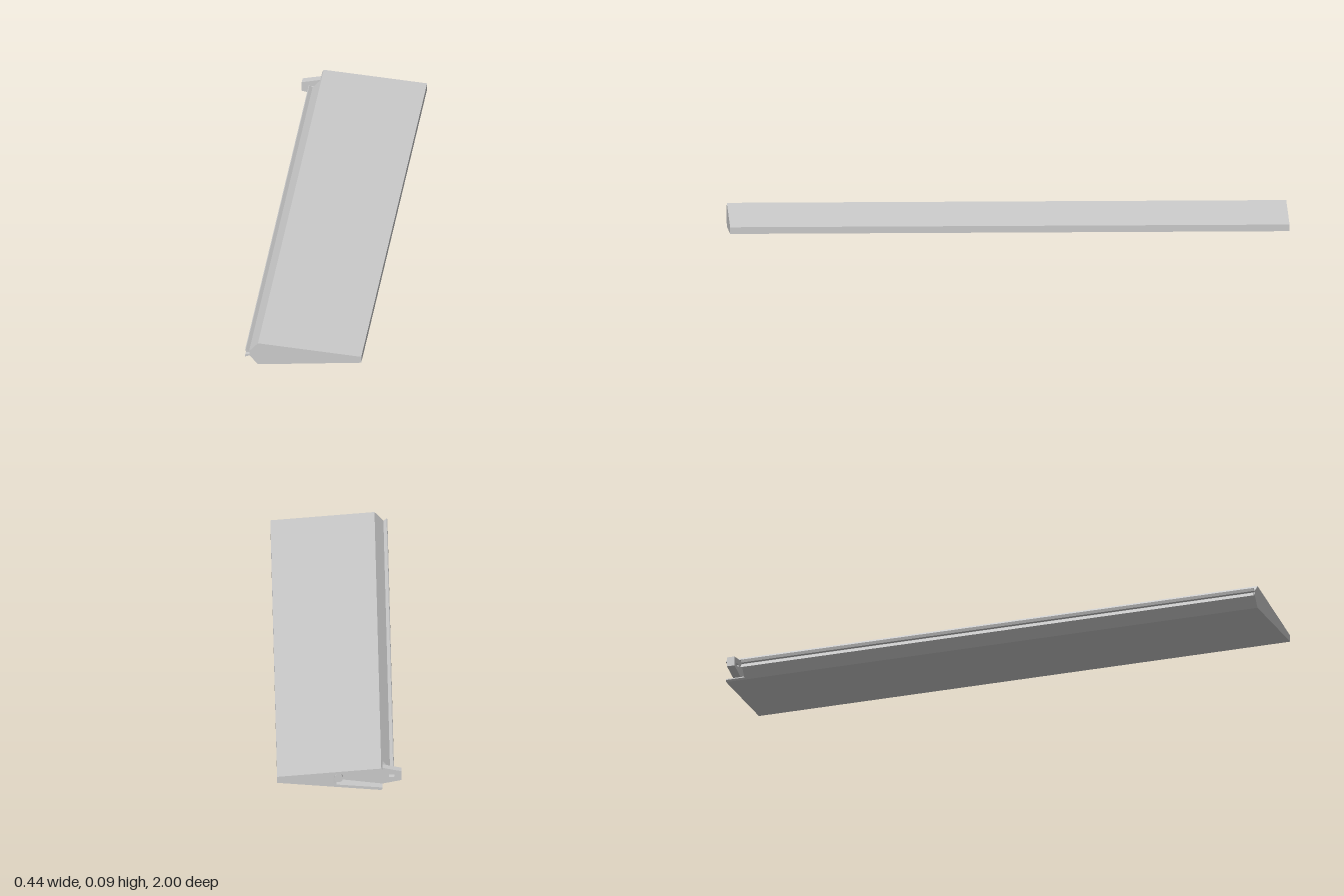
import * as THREE from 'three';

const material = new THREE.MeshStandardMaterial({ color: 0xcccccc, flatShading: true });

// Extrudes an x/y outline along z between two positions.
function slab(name, points, z0, z1, holes = []) {
  const toVectors = (list) => list.map(([x, y]) => new THREE.Vector2(x, y));
  const shape = new THREE.Shape(toVectors(points));
  for (const hole of holes) shape.holes.push(new THREE.Path(toVectors(hole)));
  const geometry = new THREE.ExtrudeGeometry(shape, { depth: z1 - z0, bevelEnabled: false });
  geometry.translate(0, 0, z0);
  const mesh = new THREE.Mesh(geometry, material);
  mesh.name = name;
  return mesh;
}

export function createModel() {
  const group = new THREE.Group();
  group.name = 'hingedFlap';

  // Tapered panel whose nose ends in a slotted hinge lip
  group.add(slab('panel', [
    [0.222, 0.033], [0.222, 0.057], [-0.15, 0.088],
    [-0.182, 0.053], [-0.193, 0.062], [-0.196, 0.06], [-0.192, 0.05],
    [-0.18, 0.05], [-0.18, 0.041], [-0.195, 0.041], [-0.197, 0.03],
    [-0.18, 0.037], [-0.15, 0.002],
  ], -0.93, 1));

  // End of the panel, hollowed by a pocket that opens toward the nose
  group.add(slab('pocketEnd', [
    [0.222, 0.033], [0.222, 0.057], [-0.15, 0.088], [-0.155, 0.082], [-0.155, 0.079],
    [0.01, 0.065], [0.02, 0.058], [0.02, 0.032], [0.01, 0.025],
    [-0.155, 0.012], [-0.155, 0.008], [-0.15, 0.002],
  ], -1, -0.93));

  // Drive arm lying in the pocket, with a hinge slot near its outer end
  group.add(slab('driveArm', [
    [-0.223, 0.028], [-0.155, 0.014], [0.01, 0.034], [0.02, 0.04],
    [0.02, 0.05], [0.01, 0.057], [-0.155, 0.077], [-0.223, 0.063],
  ], -0.973, -0.945, [
    [[-0.198, 0.041], [-0.198, 0.05], [-0.178, 0.05], [-0.178, 0.041]],
  ]));

  // Boss holding the inner end of the arm
  const boss = new THREE.Mesh(new THREE.CylinderGeometry(0.016, 0.016, 0.06, 12), material);
  boss.name = 'armBoss';
  boss.rotation.x = Math.PI / 2;
  boss.position.set(0.002, 0.045, -0.96);
  group.add(boss);

  return group;
}
